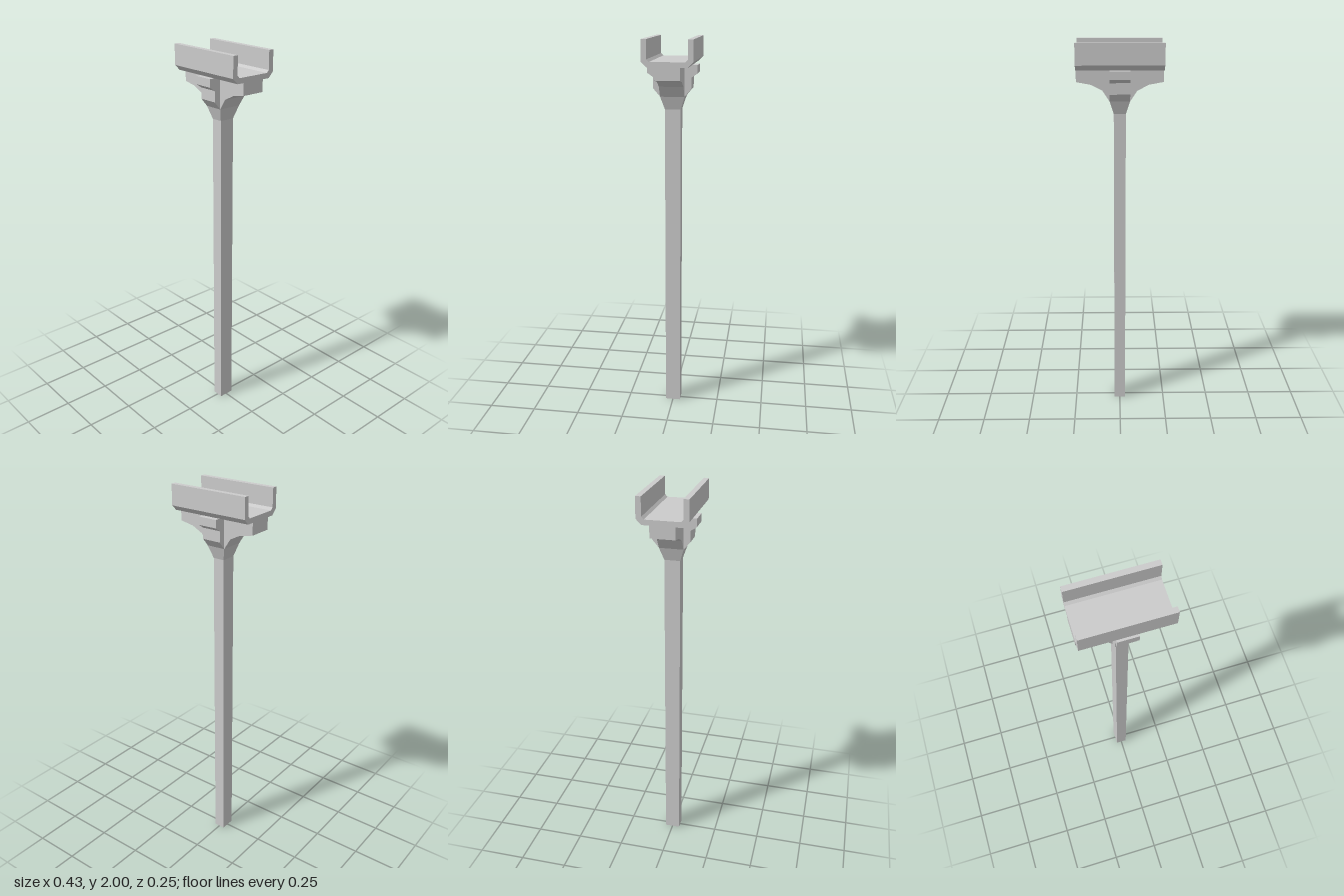
import * as THREE from 'three';

const material = new THREE.MeshStandardMaterial({ color: 0xcccccc, flatShading: true });
const openMaterial = material.clone();
openMaterial.side = THREE.DoubleSide;

// Extrudes a half profile, mirrored about the vertical axis, centred on its depth
function mirroredExtrude(half, depth) {
  const points = [...half, ...half.map(([a, y]) => [-a, y]).reverse()];
  const shape = new THREE.Shape(points.map(([a, y]) => new THREE.Vector2(a, y)));
  return new THREE.ExtrudeGeometry(shape, { depth, bevelEnabled: false }).translate(0, 0, -depth / 2);
}

// Open four-sided tube between two rectangles given as half sizes [x, z]
function rectTube(bottom, top, y0, y1) {
  const geometry = new THREE.CylinderGeometry(Math.SQRT2, Math.SQRT2, 1, 4, 1, true).rotateY(Math.PI / 4);
  const p = geometry.attributes.position;
  for (let i = 0; i < p.count; i++) {
    const upper = p.getY(i) > 0;
    const [hx, hz] = upper ? top : bottom;
    p.setXYZ(i, Math.sign(p.getX(i)) * hx, upper ? y1 : y0, Math.sign(p.getZ(i)) * hz);
  }
  geometry.computeVertexNormals();
  return geometry;
}

export function createModel() {
  const group = new THREE.Group();
  const add = (name, geometry, mat = material) => {
    const mesh = new THREE.Mesh(geometry, mat);
    mesh.name = name;
    group.add(mesh);
  };

  const post = [0.03, 0.04];
  const neck = [0.05, 0.061];
  const flareY = 1.65, neckY = 1.715, deckY = 1.87;

  // Slender post and the flare at its head
  add('post', rectTube(post, post, 0, flareY), openMaterial);
  add('postFlare', rectTube(post, neck, flareY, neckY), openMaterial);

  // Long corbel with faceted arches, running along x
  add('longCorbel', mirroredExtrude([
    [0.05, neckY], [0.085, 1.768], [0.142, 1.797], [0.213, 1.81], [0.213, deckY],
  ], 2 * neck[1]));

  // Short stepped corbel, running along z
  add('crossCorbel', mirroredExtrude([
    [0.061, neckY], [0.095, 1.755], [0.095, 1.81], [0.125, 1.83], [0.125, deckY],
  ], 2 * neck[0]).rotateY(-Math.PI / 2));

  // U-shaped channel with chamfered lower corners, open at the ends
  add('channel', mirroredExtrude([
    [0.098, deckY], [0.125, 1.897], [0.125, 2], [0.098, 2], [0.098, 1.908], [0.086, 1.896],
  ], 0.427).rotateY(-Math.PI / 2));

  return group;
}
